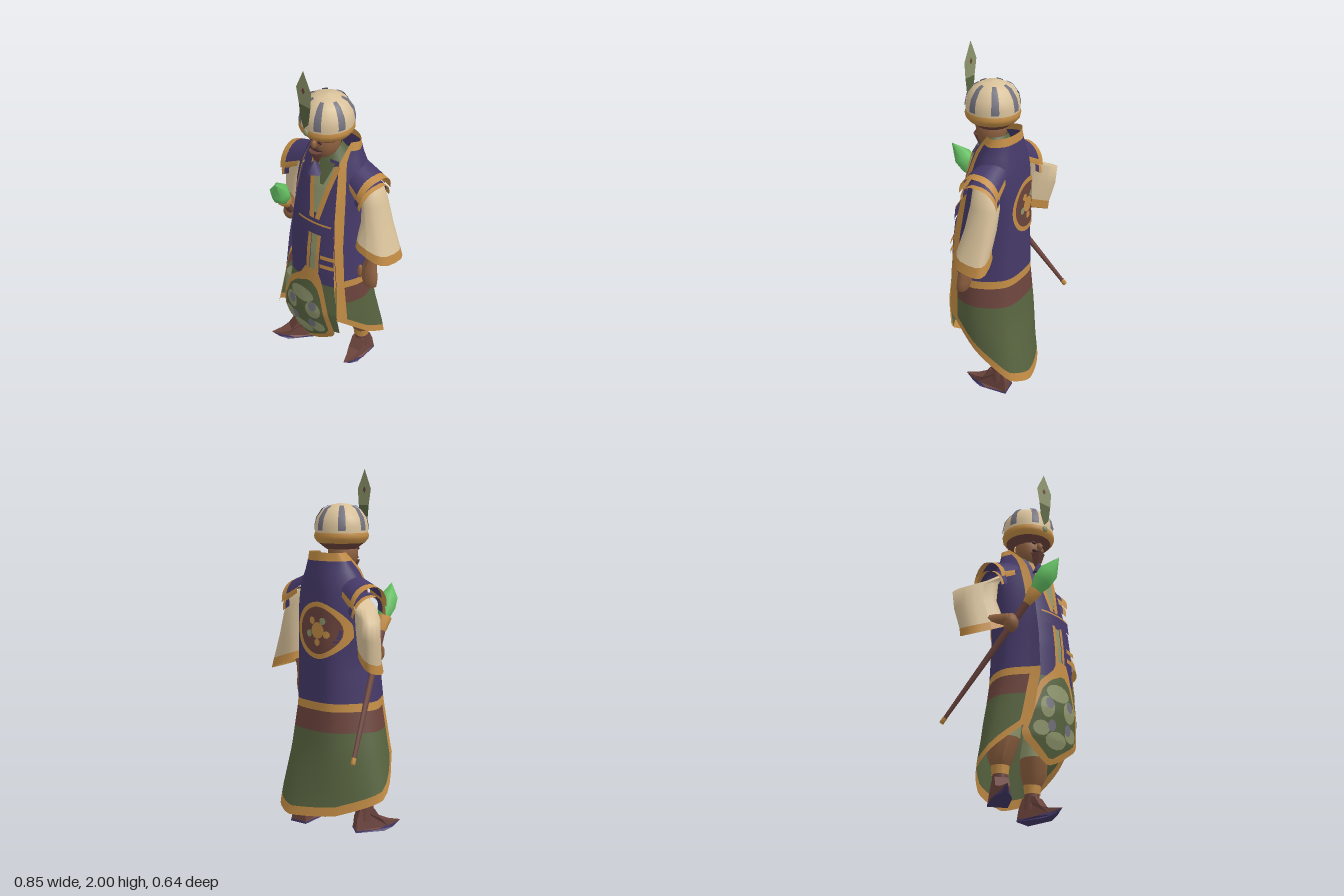
import * as THREE from 'three';

const colours = {
  purple: 0x453968, gold: 0xc28c45, olive: 0x586440, maroon: 0x6c443d, cream: 0xd8c19a,
  sage: 0x8e956c, slate: 0x73717d, skin: 0x8d6040, crystal: 0x66c264, darkBrown: 0x4a2d2b,
};
const M = {};
for (const [name, hex] of Object.entries(colours)) {
  M[name] = new THREE.MeshStandardMaterial({ color: hex, side: THREE.DoubleSide });
  M[name].name = name;
}

// Linear lookup in rows [key, ...values] with descending keys
function lookup(rows, k) {
  let i = 0;
  while (i < rows.length - 2 && k < rows[i + 1][0]) i++;
  const a = rows[i], b = rows[i + 1];
  const t = THREE.MathUtils.clamp((a[0] - k) / (a[0] - b[0]), 0, 1);
  return a.slice(1).map((v, j) => v + (b[j + 1] - v) * t);
}

// Surface from a function f(u, v) -> [x, y, z]
function grid(nu, nv, f) {
  const pos = [], idx = [];
  for (let j = 0; j <= nv; j++) for (let i = 0; i <= nu; i++) pos.push(...f(i / nu, j / nv));
  for (let j = 0; j < nv; j++) for (let i = 0; i < nu; i++) {
    const a = j * (nu + 1) + i, b = a + nu + 1;
    idx.push(a, b, a + 1, b, b + 1, a + 1);
  }
  const g = new THREE.BufferGeometry();
  g.setAttribute('position', new THREE.Float32BufferAttribute(pos, 3));
  g.setIndex(idx);
  g.computeVertexNormals();
  return g;
}

// Coat cross-sections: y, then x,z from the left front edge round the back to the right front edge
const coatRows = [
  [1.55, .13, -.05, .15, -.1, .1, -.145, .02, -.16, -.06, -.145, -.11, -.11, -.1, -.05],
  [1.46, .12, .02, .17, -.07, .12, -.155, .02, -.175, -.08, -.155, -.15, -.06, -.1, .05],
  [1.38, .13, .05, .21, -.06, .14, -.175, .02, -.19, -.11, -.165, -.2, -.03, -.09, .1],
  [1.25, .155, .085, .225, -.05, .15, -.185, .02, -.2, -.13, -.165, -.21, 0, -.09, .14],
  [.95, .185, .135, .24, -.03, .15, -.185, .02, -.2, -.13, -.165, -.2, .03, -.1, .195],
  [.7, .205, .145, .26, -.03, .16, -.185, .02, -.205, -.14, -.165, -.23, .04, -.11, .22],
  [.45, .225, .14, .272, -.05, .19, -.21, .04, -.235, -.16, -.18, -.29, .03, -.165, .225],
  [.22, .235, .1, .275, -.08, .22, -.25, .07, -.285, -.17, -.19, -.34, .02, -.24, .22],
  [.09, .24, .1, .28, -.1, .23, -.27, .09, -.315, -.18, -.2, -.35, .02, -.25, .22],
];
function coat(u, y) {
  const r = lookup(coatRows, y), pts = [];
  for (let i = 0; i < 14; i += 2) pts.push(new THREE.Vector3(r[i], y, r[i + 1]));
  return new THREE.CatmullRomCurve3(pts).getPoint(u / 6).toArray();
}
// Point on the coat's back at a given x, y
function coatBack(x, y) {
  let a = 1.6, b = 4.6;
  for (let i = 0; i < 16; i++) {
    const m = (a + b) / 2;
    if (coat(m, y)[0] > x) a = m; else b = m;
  }
  return coat(a, y);
}
const hems = [.46, .28, .13, .085, .11, .2, .41];
function hem(u) {
  const i = Math.min(5, Math.floor(u));
  return hems[i] + (hems[i + 1] - hems[i]) * (u - i);
}

// Depth of the tunic front at a given x, y
const frontRows = [[1.48, .04], [1.3, .1], [1.1, .15], [.9, .175], [.7, .185], [.5, .2], [.35, .18], [.22, .13]];
const frontZ = (x, y) => lookup(frontRows, y)[0] - 1.2 * x * x;
// Panel lying on the tunic front; rows are [y, x0, x1]
function panel(rows, lift) {
  const y0 = rows[0][0], y1 = rows[rows.length - 1][0];
  return grid(8, 28, (u, v) => {
    const y = y0 + (y1 - y0) * v, [a, b] = lookup(rows, y), x = a + (b - a) * u;
    return [x, y, frontZ(x, y) + lift];
  });
}
const strip = (pts, w, lift) => panel(pts.map(([y, x]) => [y, x - w / 2, x + w / 2]), lift);

// Sleeve or limb from rings [x, y, z, rx, rz, slopeX, slopeZ, power, skew]; power below 1 squares the ring
function rings(list) {
  const n = list.length - 1, pw = (c, p) => Math.sign(c) * Math.abs(c) ** p;
  return grid(16, n, (u, v) => {
    const [x, y, z, rx, rz, sx = 0, sz = 0, p = 1, k = 0] = list[Math.round(v * n)], a = u * Math.PI * 2;
    const dx = rx * pw(Math.sin(a), p), dz = rz * pw(Math.cos(a), p);
    return [x + dx, y + sx * dx + sz * dz, z + dz + k * dx];
  });
}
const V2 = (list) => list.map(([x, y]) => new THREE.Vector2(x, y));

export function createModel() {
  const model = new THREE.Group();
  const add = (name, geo, mat, parent = model) => {
    const m = new THREE.Mesh(geo, mat);
    m.name = name;
    parent.add(m);
    return m;
  };
  const ball = (name, mat, p, s) => {
    const m = add(name, new THREE.SphereGeometry(1, 12, 9), mat);
    m.position.set(...p);
    m.scale.set(...s);
  };

  // Long open coat in horizontal bands, with gold front edges
  const band = (name, mat, u0, u1, top, bottom, n) => add(name, grid(u1 - u0 > 1 ? 28 : 2, n, (a, v) => {
    const u = u0 + (u1 - u0) * a, t = top(u), b = bottom(u);
    return coat(u, t + (b - t) * v);
  }), mat);
  const at = (y) => () => y, hemTop = (u) => hem(u) + .05;
  const e = .33, r = 5.75;
  band('coatCollarTrim', M.gold, e, r, at(1.55), at(1.505), 2);
  band('coatBody', M.purple, e, r, at(1.505), at(.73), 14);
  band('coatGoldBand', M.gold, e, r, at(.73), at(.685), 1);
  band('coatMaroonBand', M.maroon, e, r, at(.685), at(.57), 2);
  band('coatSkirt', M.olive, e, r, at(.57), hemTop, 8);
  band('coatHem', M.gold, e, r, hemTop, hem, 1);
  band('coatLeftEdge', M.gold, 0, e, at(1.55), hem, 22);
  band('coatRightCollarEdge', M.gold, r, 6, at(1.55), at(1.15), 8);
  band('coatRightFlap', M.purple, r, 6, at(1.15), at(.73), 8);
  band('coatRightEdge', M.gold, r, 6, at(.73), hem, 8);

  // Round ornament on the back, wrapped onto the coat
  const wrap = (name, mat, r0, r1, lift, cx = 0, cy = 0) => add(name, grid(28, 3, (a, v) => {
    const rad = r0 + (r1 - r0) * v, t = a * Math.PI * 2;
    const p = coatBack(cx - .04 + rad * Math.cos(t), 1.13 + cy + rad * Math.sin(t));
    return [p[0], p[1], p[2] - lift];
  }), mat);
  wrap('backDisc', M.maroon, 0, .14, .005);
  wrap('backRing', M.gold, .13, .157, .008);
  wrap('backCentre', M.gold, 0, .045, .008);
  for (let i = 0; i < 5; i++) {
    const a = -Math.PI / 2 + i * Math.PI * .4;
    wrap('backPetal', i % 2 ? M.sage : M.gold, 0, .02, .01, .065 * Math.cos(a), .065 * Math.sin(a));
  }

  // Tunic front, shirt opening, belt and trims
  add('tunicFront', panel([[1.46, -.1, .12], [1.3, -.12, .15], [.95, -.13, .19], [.72, -.11, .21], [.6, -.1, .21]], 0), M.purple);
  add('underskirt', panel([[.7, -.1, .215], [.36, -.17, .23]], .004), M.olive);
  add('shirt', panel([[1.43, -.02, .13], [1.3, 0, .1], [1.15, .04, .07]], .006), M.sage);
  add('shirtCollar', panel([[1.45, 0, .11], [1.38, .03, .09], [1.32, .05, .07]], .01), M.olive);
  add('shirtTrim', strip([[1.44, -.035], [1.3, 0], [1.12, .04]], .03, .012), M.gold);
  add('shirtTrim', strip([[1.44, .13], [1.3, .105], [1.12, .075]], .03, .012), M.gold);
  add('tunicOpening', strip([[1.02, .07], [.74, .07]], .04, .005), M.sage);
  for (const x of [.04, .1]) add('tunicOpeningTrim', strip([[1.03, x], [.72, x]], .022, .01), M.gold);
  add('belt', panel([[1.1, -.06, .185], [1.03, -.06, .185]], .016), M.purple);
  add('beltTrim', panel([[1.105, -.05, .17], [1.094, -.05, .17]], .019), M.gold);
  add('sashTail', panel([[1.03, .125, .185], [.78, .125, .2]], .008), M.purple);
  for (const y of [.91, .85]) add('sashTrim', panel([[y, .125, .21], [y - .025, .125, .21]], .02), M.gold);

  // Pointed front apron with border and mottled pattern
  add('apronBorder', panel([[.8, .03, .11], [.74, 0, .135], [.66, -.09, .155], [.5, -.155, .19], [.36, -.19, .215], [.33, -.18, .2], [.25, -.07, .085], [.22, -.01, .02]], .02), M.gold);
  add('apron', panel([[.71, .05, .08], [.67, -.03, .12], [.61, -.085, .14], [.5, -.13, .165], [.38, -.16, .185], [.34, -.14, .16], [.28, -.055, .065], [.25, -.01, .02]], .025), M.olive);
  const spot = (name, mat, x, y, rx, ry, lift) => add(name, grid(14, 2, (a, v) => {
    const t = a * Math.PI * 2, px = x + rx * v * Math.cos(t), py = y + ry * v * Math.sin(t);
    return [px, py, frontZ(px, py) + lift];
  }), mat);
  for (const [x, y, rx, ry] of [[.02, .6, .085, .05], [-.06, .51, .045, .06], [.1, .51, .05, .06], [-.09, .39, .05, .04], [.12, .39, .05, .04], [.015, .34, .075, .045]])
    spot('apronPatch', M.sage, x, y, rx, ry, .03);
  for (const [x, y] of [[-.05, .53], [.1, .54], [-.03, .41], [.09, .41]]) spot('apronFlower', M.slate, x, y, .026, .032, .034);

  // Head, beard and scarf
  ball('head', M.skin, [0, 1.54, .01], [.085, .11, .085]);
  ball('nose', M.skin, [0, 1.545, .095], [.016, .026, .02]);
  ball('moustache', M.darkBrown, [0, 1.515, .08], [.045, .014, .022]);
  const beard = add('beard', new THREE.ConeGeometry(.045, .1, 8), M.maroon);
  beard.position.set(0, 1.45, .075);
  beard.rotation.x = Math.PI;
  for (const s of [-1, 1]) ball('eye', M.darkBrown, [s * .033, 1.565, .086], [.016, .009, .008]);
  add('neck', rings([[0, 1.52, -.02, .07, .06], [.01, 1.45, -.03, .11, .09], [.015, 1.4, -.06, .165, .125]]), M.olive);
  const knot = add('scarfKnot', new THREE.ConeGeometry(.05, .08, 5), M.purple);
  knot.position.set(0, 1.41, .09);

  // Turban with band, stripes and feather
  const dome = [[.146, 1.645], [.147, 1.69], [.137, 1.735], [.105, 1.78], [.055, 1.806], [0, 1.815]];
  add('turban', new THREE.LatheGeometry(V2(dome), 20), M.cream);
  add('turbanUnderside', new THREE.LatheGeometry(V2([[.085, 1.565], [.13, 1.6]]), 20), M.maroon);
  add('turbanBand', new THREE.LatheGeometry(V2([[.13, 1.598], [.148, 1.62], [.152, 1.638], [.147, 1.655]]), 20), M.gold);
  for (let i = 0; i < 7; i++) {
    const stripe = V2([[.15, 1.668], [.151, 1.69], [.141, 1.737], [.109, 1.784], [.075, 1.802]]);
    add('turbanStripe', new THREE.LatheGeometry(stripe, 3, Math.PI - .14 + i * Math.PI * 2 / 7, .28), M.slate);
  }
  ball('turbanJewel', M.sage, [-.005, 1.64, .15], [.018, .02, .01]);
  const plate = (name, pts, mat, z) => { add(name, new THREE.ShapeGeometry(new THREE.Shape(V2(pts))), mat).position.z = z; };
  plate('featherBase', [[-.015, 1.66], [.02, 1.7], [.035, 1.8], [-.05, 1.8], [-.04, 1.72]], M.olive, .153);
  plate('featherTip', [[-.05, 1.8], [.035, 1.8], [.043, 1.89], [-.015, 2], [-.068, 1.89]], M.sage, .153);
  for (const z of [.155, .151]) plate('featherEye', [[-.028, 1.885], [-.015, 1.865], [-.002, 1.885], [-.015, 1.905]], M.maroon, z);

  // Shoulder caps, two layers with gold rims and hems
  for (const [s, cy, cz] of [[1, 1.35, -.09], [-1, 1.35, -.03]]) {
    const cap = (name, mat, s0, s1, a0, a1, drop, grow) => add(name, grid(12, 3, (a, v) => {
      const q = s0 + (s1 - s0) * v, t = (a0 + (a1 - a0) * a) * 1.55, R = .088 + .027 * q + grow;
      return [s * (.115 + .185 * q - .02 * Math.abs(t) * q), cy - drop - .09 * q + R * Math.cos(t), cz + R * Math.sin(t)];
    }), mat);
    cap('shoulderCap', M.purple, 0, .83, -.85, .85, 0, .004);
    cap('shoulderCapTrim', M.gold, .83, 1.05, -1, 1, 0, .004);
    cap('lowerShoulderCap', M.purple, .7, .9, -1, 1, .05, 0);
    cap('lowerShoulderTrim', M.gold, .9, 1.03, -1, 1, .05, 0);
    for (const h of [-1, 1]) cap('shoulderCapHem', M.gold, .3, .83, h * .85, h * 1.05, 0, .004);
  }

  // Hanging left arm
  const lc = [.315, .955, -.09, .095, .1, -.35, .1, .7, -.25];
  add('leftSleeve', rings([[.18, 1.34, -.09, .04, .05], [.225, 1.29, -.11, .06, .078], [.25, 1.2, -.118, .063, .085], [.28, 1.08, -.11, .075, .09, -.2, .05, .85, -.1], lc]), M.cream);
  add('leftCuff', rings([lc, [.32, .905, -.09, .102, .106, -.4, .1, .65, -.25]]), M.gold);
  add('leftForearm', rings([[.3, 1, -.07, .04, .04], [.31, .87, -.045, .03, .03], [.31, .82, -.03, .045, .035], [.312, .76, -.025, .056, .036], [.325, .71, -.02, .042, .03], [.33, .69, -.02, .005, .005]]), M.skin);
  ball('leftThumb', M.skin, [.265, .78, 0], [.016, .045, .018]);

  // Bent right arm with wide hanging cuff
  const rc = [-.3, 1.01, -.05, .098, .07, .4, -.2, .75, .45];
  add('rightSleeve', rings([[-.17, 1.33, -.04, .04, .05], [-.235, 1.29, -.05, .065, .07, .4], [-.32, 1.235, -.085, .11, .07, .3, 0, .8, .4], [-.322, 1.13, -.08, .1, .07, .3, 0, .8, .4], rc]), M.cream);
  add('rightCuff', rings([rc, [-.297, .962, -.04, .1, .074, .42, -.2, .75, .45]]), M.gold);
  const forearm = add('rightForearm', new THREE.CapsuleGeometry(.032, .11, 4, 10), M.skin);
  forearm.position.set(-.255, 1.02, .03);
  forearm.quaternion.setFromUnitVectors(new THREE.Vector3(0, 1, 0), new THREE.Vector3(.6, 0, .8).normalize());
  ball('rightHand', M.skin, [-.205, 1.0, .085], [.042, .055, .045]);

  // Staff with crystal, built upright then tilted
  const staff = new THREE.Group();
  staff.name = 'staff';
  staff.position.set(-.4, .46, -.25);
  staff.quaternion.setFromUnitVectors(new THREE.Vector3(0, 1, 0), new THREE.Vector3(.34, .9, .57).normalize());
  model.add(staff);
  const turned = (name, pts, sides, mat) => add(name, new THREE.LatheGeometry(V2(pts), sides), mat, staff);
  turned('shaft', [[.011, .03], [.018, .5], [.022, .82]], 8, M.maroon);
  turned('shaftTip', [[0, 0], [.013, 0], [.013, .035]], 8, M.gold);
  turned('crystalHolder', [[.022, .8], [.028, .82], [.042, .89], [.02, .89]], 8, M.gold);
  turned('crystal', [[.025, .87], [.053, .95], [.054, 1.02], [0, 1.12]], 6, M.crystal);

  // Baggy legs and pointed shoes
  for (const [name, x, z, yaw] of [['left', .155, -.14, .22], ['right', -.205, .01, -.52]]) {
    const leg = new THREE.Group();
    leg.name = name + 'Leg';
    leg.position.set(x, 0, z);
    leg.rotation.y = yaw;
    model.add(leg);
    const t = x > 0 ? -.03 : .04;
    add('trouserTop', rings([[t, .55, .05, .05, .05], [t, .48, .045, .07, .065], [t / 2, .34, .02, .08, .078]]), M.sage, leg);
    add('trouserBottom', rings([[t / 2, .34, .02, .08, .078], [0, .25, .01, .072, .072], [0, .19, 0, .045, .045]]), M.skin, leg);
    add('ankleBand', rings([[0, .205, 0, .05, .05], [0, .15, 0, .044, .044]]), M.gold, leg);
    add('ankle', rings([[0, .16, 0, .04, .042], [0, .06, -.01, .045, .05]]), M.maroon, leg);
    const shoe = (part, pts, mat) => {
      const g = new THREE.ExtrudeGeometry(new THREE.Shape(V2(pts)), { depth: .11, bevelEnabled: false });
      g.translate(0, 0, -.055).rotateY(-Math.PI / 2);
      const p = g.attributes.position;
      for (let i = 0; i < p.count; i++) {
        const taper = p.getZ(i) > .06 ? Math.max(.06, 1 - (p.getZ(i) - .06) / .13) : 1;
        p.setX(i, p.getX(i) * taper * (1 - 2.5 * p.getY(i)));
      }
      g.computeVertexNormals();
      add(part, g, mat, leg);
    };
    shoe('shoe', [[-.065, .012], [.06, .012], [.12, .025], [.195, .05], [.13, .055], [.08, .07], [.04, .13], [-.04, .13], [-.06, .07]], M.maroon);
    shoe('sole', [[-.067, 0], [.1, 0], [.15, .015], [.19, .046], [.12, .03], [.06, .014], [-.067, .012]], M.purple);
  }
  return model;
}
